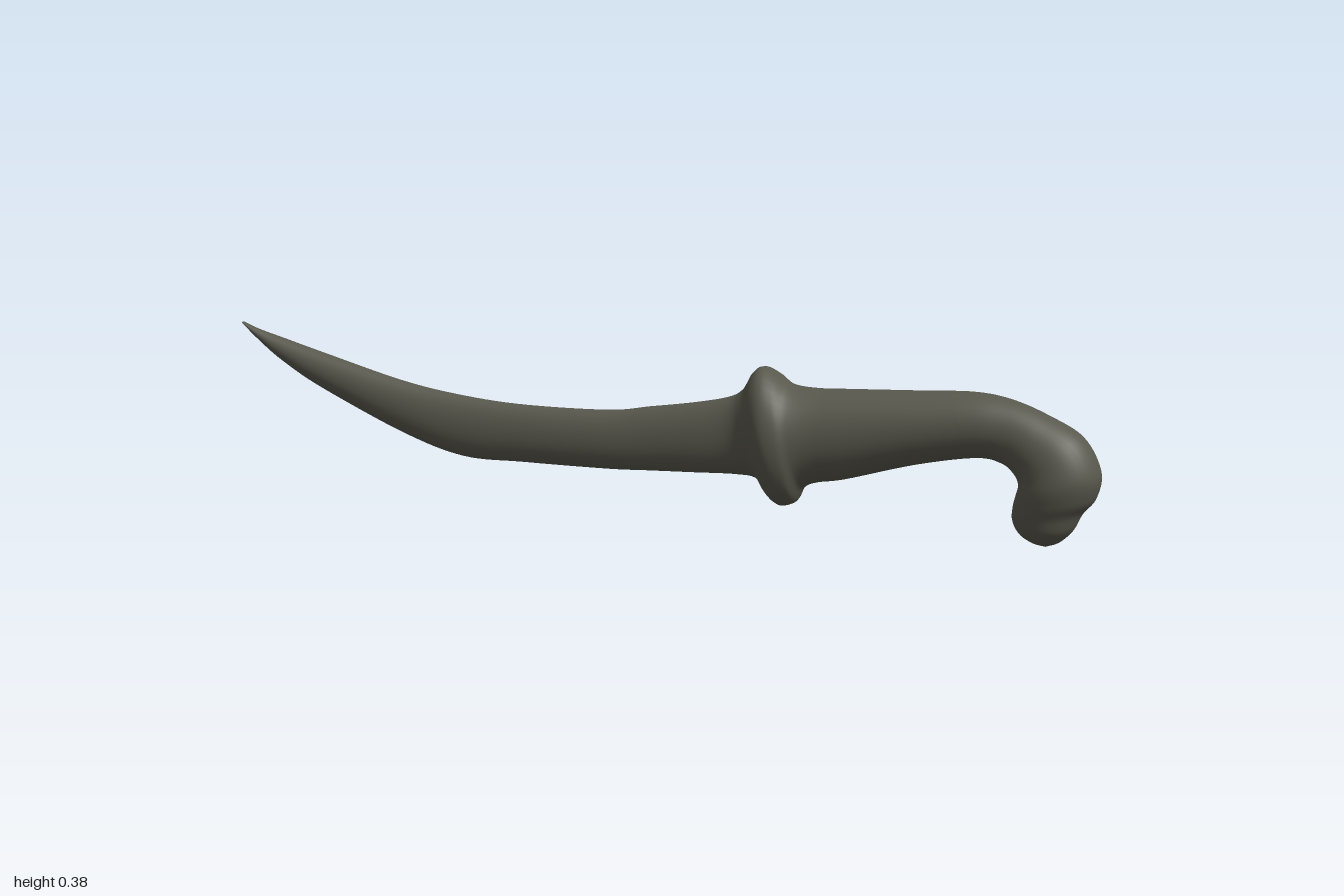
import * as THREE from 'three';

// Cross-sections from tip to pommel: upper edge x, y, lower edge x, y, centre z, half depth
const blade = [
  [-1.0, 0.382, -1.0, 0.378, -0.045, 0.006],
  [-0.96, 0.366, -0.96, 0.342, -0.046, 0.014],
  [-0.9, 0.347, -0.9, 0.294, -0.05, 0.024],
  [-0.8, 0.318, -0.8, 0.236, -0.049, 0.031],
  [-0.6, 0.265, -0.6, 0.147, -0.04, 0.034],
  [-0.45, 0.24, -0.45, 0.102, -0.034, 0.035],
  [-0.3, 0.228, -0.3, 0.098, -0.028, 0.036],
  [-0.1, 0.229, -0.1, 0.097, -0.019, 0.038],
  [0.0, 0.243, 0.0, 0.1, -0.015, 0.039],
  [0.1, 0.258, 0.1, 0.103, -0.011, 0.042],
];
const guard = [
  [0.18, 0.275, 0.2, 0.106, -0.007, 0.046],
  [0.215, 0.295, 0.25, 0.1, -0.004, 0.064],
  [0.24, 0.335, 0.278, 0.064, -0.001, 0.087],
  [0.262, 0.347, 0.305, 0.046, 0, 0.1],
  [0.29, 0.336, 0.337, 0.056, 0, 0.1],
  [0.325, 0.312, 0.355, 0.088, 0.001, 0.09],
  [0.38, 0.306, 0.385, 0.102, 0.003, 0.081],
];
const grip = [
  [0.45, 0.308, 0.45, 0.114, 0.005, 0.077],
  [0.6, 0.313, 0.6, 0.155, 0.008, 0.071],
  [0.72, 0.317, 0.73, 0.178, 0.01, 0.065],
  [0.8, 0.306, 0.785, 0.17, 0.013, 0.061],
];
const pommel = [
  [0.88, 0.277, 0.812, 0.15, 0.019, 0.064],
  [0.955, 0.235, 0.822, 0.13, 0.024, 0.071],
  [0.993, 0.165, 0.818, 0.11, 0.025, 0.076],
  [0.985, 0.11, 0.812, 0.085, 0.025, 0.068],
  [0.958, 0.075, 0.811, 0.055, 0.025, 0.056],
  [0.94, 0.04, 0.825, 0.027, 0.025, 0.045],
  [0.913, 0.013, 0.851, 0.009, 0.024, 0.026],
  [0.882, 0.0, 0.88, 0.0, 0.023, 0.001],
];
const STEPS = 8, SIDES = 36;

export function createModel() {
  const group = new THREE.Group();
  group.name = 'curvedDagger';
  const material = new THREE.MeshStandardMaterial({ color: 0x59584d });
  material.name = 'dark grey metal';

  const sections = [...blade, ...guard, ...grip, ...pommel];
  const spline = (pick) => new THREE.CatmullRomCurve3(
    sections.map((s) => new THREE.Vector3(...pick(s))), false, 'catmullrom', 0.5);
  const upper = spline((s) => [s[0], s[1], s[4]]);
  const lower = spline((s) => [s[2], s[3], s[4]]);
  const depth = spline((s) => [s[5], 0, 0]);

  // Oval rings that follow the upper and lower edges
  const rings = (sections.length - 1) * STEPS;
  const positions = [];
  for (let i = 0; i <= rings; i++) {
    const t = i / rings;
    const a = upper.getPoint(t), b = lower.getPoint(t);
    const centre = a.clone().add(b).multiplyScalar(0.5);
    const half = a.clone().sub(b).multiplyScalar(0.5);
    const d = depth.getPoint(t).x;
    for (let j = 0; j < SIDES; j++) {
      const angle = (j / SIDES) * Math.PI * 2;
      const p = centre.clone().addScaledVector(half, Math.cos(angle));
      positions.push(p.x, Math.max(0, p.y), p.z + d * Math.sin(angle));
    }
  }

  const stitch = (from, to) => {
    const index = [];
    for (let i = from; i < to; i++) {
      for (let j = 0; j < SIDES; j++) {
        const k = (j + 1) % SIDES;
        const a = i * SIDES + j, b = i * SIDES + k;
        index.push(a, b, a + SIDES, b, b + SIDES, a + SIDES);
      }
    }
    return index;
  };

  // Shared normals keep the joins between parts smooth
  const whole = new THREE.BufferGeometry();
  whole.setAttribute('position', new THREE.Float32BufferAttribute(positions, 3));
  whole.setIndex(stitch(0, rings));
  whole.computeVertexNormals();

  // Split the continuous body into its parts
  let start = 0;
  for (const [name, list] of Object.entries({ blade, guard, grip, pommel })) {
    const end = Math.min(rings, start + list.length * STEPS);
    const geometry = new THREE.BufferGeometry();
    geometry.setAttribute('position', whole.getAttribute('position'));
    geometry.setAttribute('normal', whole.getAttribute('normal'));
    geometry.setIndex(stitch(start, end));
    const mesh = new THREE.Mesh(geometry, material);
    mesh.name = name;
    group.add(mesh);
    start = end;
  }
  return group;
}
